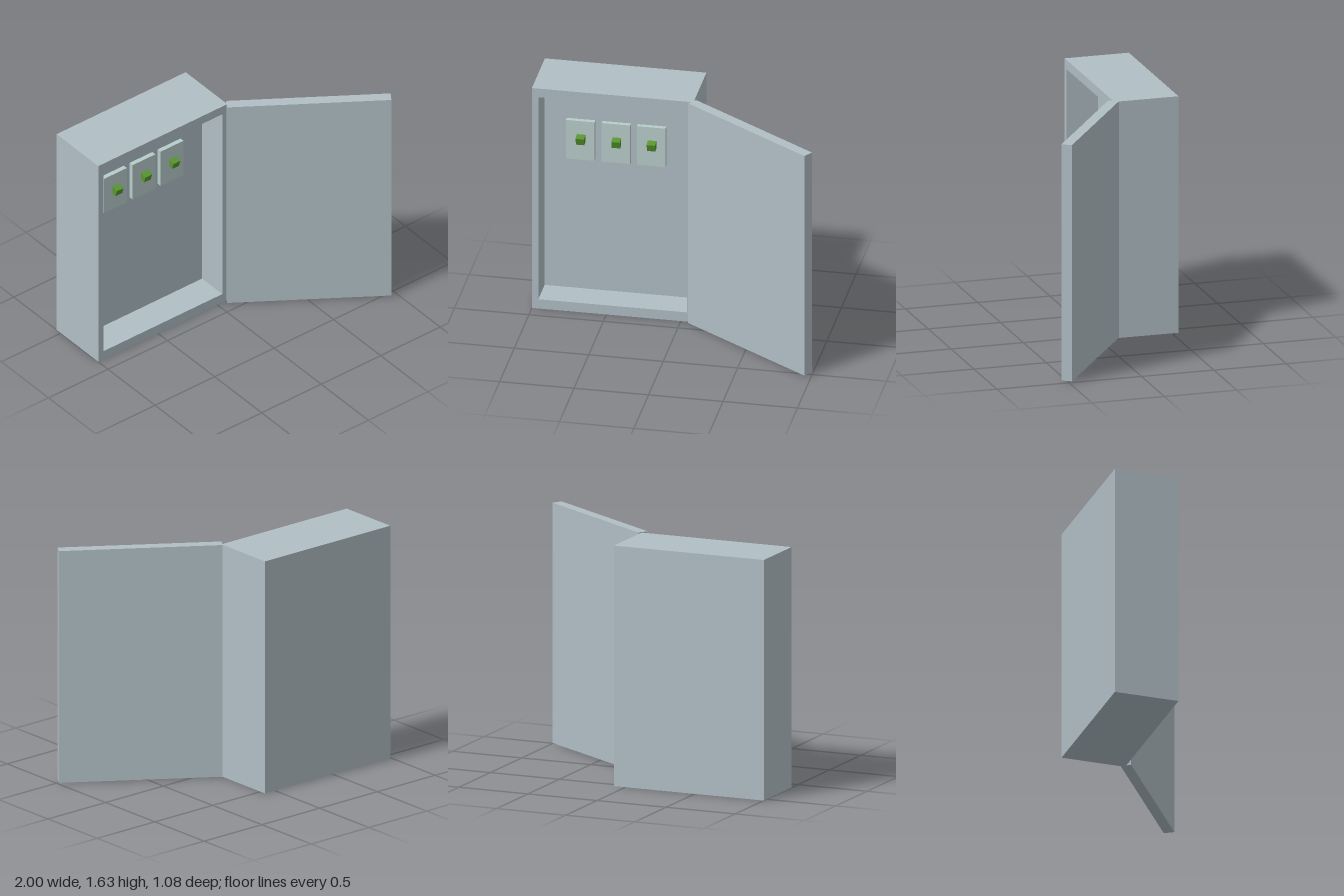
import * as THREE from 'three';

export function createModel() {
  const model = new THREE.Group();
  model.name = 'electricalCabinet';

  const material = (name, color) => {
    const m = new THREE.MeshStandardMaterial({ color });
    m.name = name;
    return m;
  };
  const steel = material('blue grey steel', 0xb0bec5);
  const plate = material('pale green grey', 0xb7ccca);
  const green = material('switch green', 0x58962d);

  const add = (name, geometry, mat, x, y, z, parent = model) => {
    const mesh = new THREE.Mesh(geometry, mat);
    mesh.name = name;
    mesh.position.set(x, y, z);
    parent.add(mesh);
    return mesh;
  };

  // Cabinet: a solid rear with a hollow frame in front of it
  const left = -1, right = 0.085, top = 1.622;
  const back = -0.545, recess = -0.317, front = -0.102;
  const width = right - left;
  add('cabinetBack', new THREE.BoxGeometry(width, top, recess - back), steel,
    (left + right) / 2, top / 2, (back + recess) / 2);

  const rectangle = (PathType, x0, x1, y0, y1) => new PathType([
    new THREE.Vector2(x0, y0), new THREE.Vector2(x1, y0),
    new THREE.Vector2(x1, y1), new THREE.Vector2(x0, y1),
  ]);
  const outline = rectangle(THREE.Shape, left, right, 0, top);
  outline.holes.push(rectangle(THREE.Path, -0.957, 0.042, 0.068, 1.558));
  add('cabinetFrame',
    new THREE.ExtrudeGeometry(outline, { depth: front - recess, bevelEnabled: false }),
    steel, 0, 0, recess);

  // Door, swung open on the right-hand edge
  const door = add('door', new THREE.BoxGeometry(1.086, 1.62, 0.072), steel, 0.526, 0.817, 0.205);
  door.rotation.y = -0.595;

  // Three breakers, each with a lever sloping down and forward
  const panelFront = -0.285;
  [-0.712, -0.472, -0.235].forEach((x, i) => {
    const breaker = new THREE.Group();
    breaker.name = `breaker${i + 1}`;
    model.add(breaker);
    add('breakerPanel', new THREE.BoxGeometry(0.192, 0.284, panelFront - recess), plate,
      x, 1.173, (panelFront + recess) / 2, breaker);
    const lever = add('breakerLever', new THREE.BoxGeometry(0.057, 0.052, 0.06), green,
      x + 0.006, 1.188, panelFront + 0.008, breaker);
    lever.rotation.x = 0.3;
  });

  return model;
}
